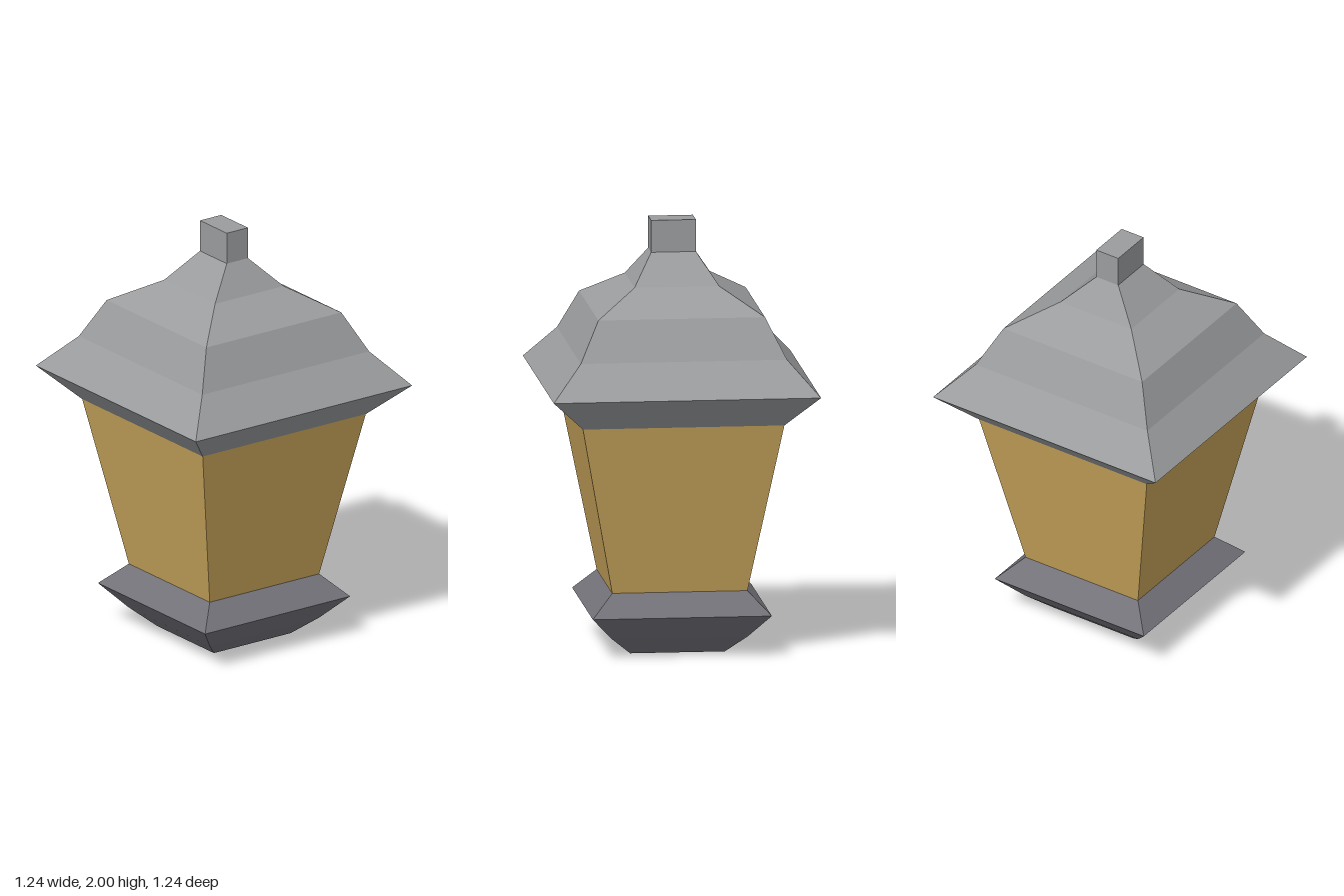
import * as THREE from 'three';

// Flat-sided loft through rectangular levels [y, halfX, halfZ], capped at both ends
function loft(levels) {
  const pos = [];
  const rings = levels.map(([y, x, z = x]) => [[-x, y, z], [x, y, z], [x, y, -z], [-x, y, -z]]);
  const quad = (a, b, c, d) => pos.push(...a, ...b, ...c, ...a, ...c, ...d);
  for (let i = 0; i < rings.length - 1; i++) {
    for (let k = 0; k < 4; k++) {
      const n = (k + 1) % 4;
      quad(rings[i][k], rings[i][n], rings[i + 1][n], rings[i + 1][k]);
    }
  }
  const bottom = rings[0], top = rings[rings.length - 1];
  quad(bottom[3], bottom[2], bottom[1], bottom[0]);
  quad(...top);
  const geometry = new THREE.BufferGeometry();
  geometry.setAttribute('position', new THREE.Float32BufferAttribute(pos, 3));
  geometry.computeVertexNormals();
  return geometry;
}

function material(name, color) {
  const m = new THREE.MeshStandardMaterial({ color });
  m.name = name;
  return m;
}

export function createModel() {
  const group = new THREE.Group();
  group.name = 'lantern';
  const roofGrey = material('roof grey', 0x9a9c9e);
  const baseGrey = material('base grey', 0x737279);
  const amber = material('amber glass', 0xc6a35a);

  const add = (name, levels, mat) => {
    const mesh = new THREE.Mesh(loft(levels), mat);
    mesh.name = name;
    group.add(mesh);
  };

  // Flared foot
  add('base', [[0, 0.22], [0.085, 0.315], [0.197, 0.416], [0.3, 0.314]], baseGrey);
  // Tapered glass body
  add('glass', [[0.3, 0.314], [1.1, 0.468]], amber);
  // Stepped roof with overhanging eaves
  add('roof', [[1.1, 0.468], [1.253, 0.621], [1.41, 0.479], [1.595, 0.387],
    [1.71, 0.197], [1.85, 0.061, 0.104]], roofGrey);
  // Rectangular finial
  add('finial', [[1.85, 0.061, 0.104], [2, 0.061, 0.104]], roofGrey);

  return group;
}
